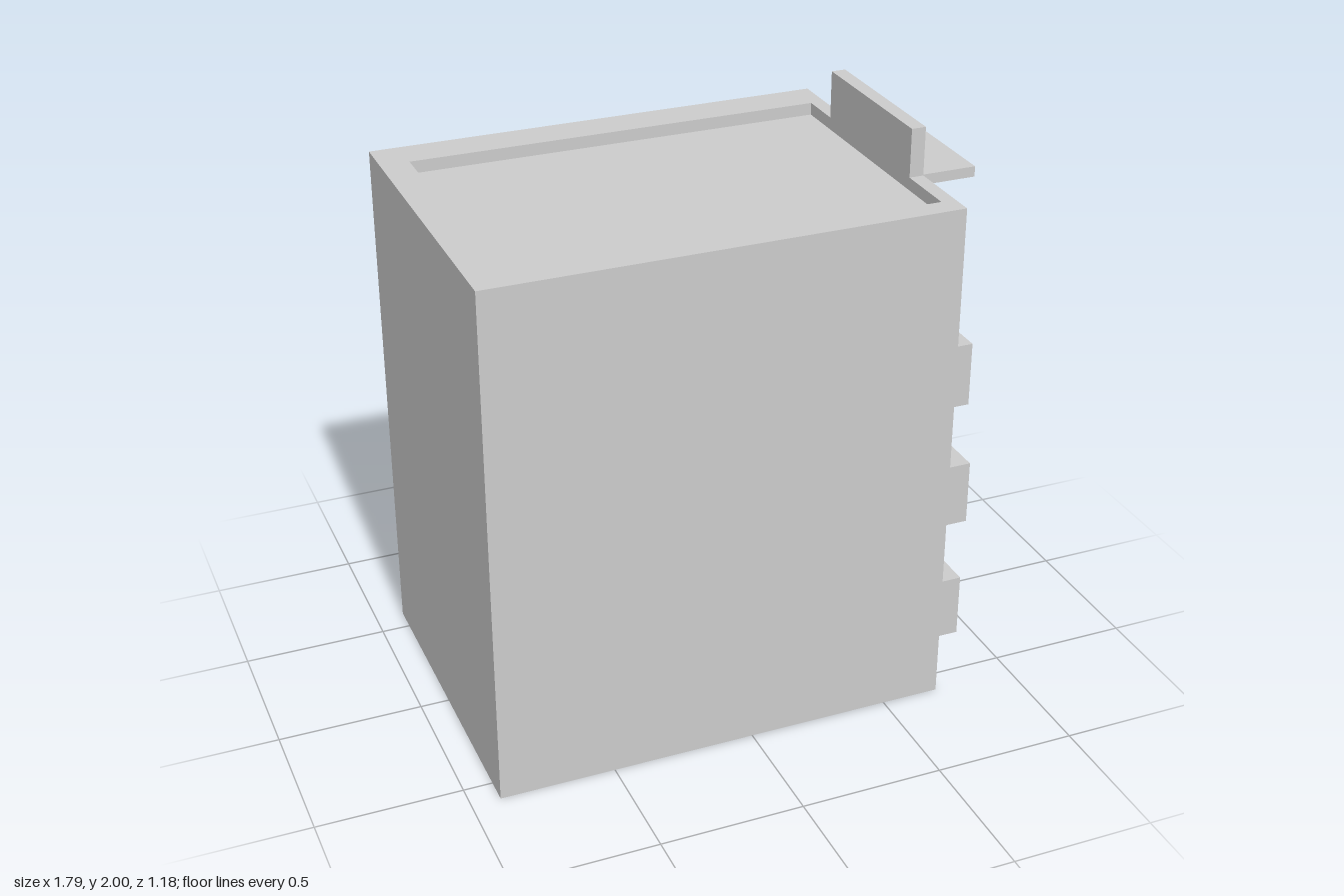
import * as THREE from 'three';

const material = new THREE.MeshStandardMaterial({ color: 0xcccccc, flatShading: true });

// Rectangle outline, usable as a shape or a hole
function rect(Type, u0, u1, v0, v1) {
  return new Type([[u0, v0], [u1, v0], [u1, v1], [u0, v1]].map(([u, v]) => new THREE.Vector2(u, v)));
}

export function createModel() {
  const group = new THREE.Group();
  const add = (name, geometry) => {
    const mesh = new THREE.Mesh(geometry, material);
    mesh.name = name;
    group.add(mesh);
    return mesh;
  };
  // Box given by its limits on each axis
  const box = (name, x0, x1, y0, y1, z0, z1) =>
    add(name, new THREE.BoxGeometry(x1 - x0, y1 - y0, z1 - z0))
      .position.set((x0 + x1) / 2, (y0 + y1) / 2, (z0 + z1) / 2);

  const left = -0.9, right = 0.705, halfDepth = 0.588, doorHalf = 0.295;
  const roofY = 1.79, topY = 1.833, doorBack = 0.635;

  // Main block up to the sunken roof
  box('building', left, doorBack, 0, roofY, -halfDepth, halfDepth);

  // Entrance wall with the doorway cut out
  const wall = new THREE.Shape([
    [-halfDepth, 0], [-doorHalf, 0], [-doorHalf, 1.58], [doorHalf, 1.58],
    [doorHalf, 0], [halfDepth, 0], [halfDepth, roofY], [-halfDepth, roofY],
  ].map(([u, v]) => new THREE.Vector2(u, v)));
  const wallGeometry = new THREE.ExtrudeGeometry(wall, { depth: right - doorBack, bevelEnabled: false });
  add('entranceWall', wallGeometry.rotateY(Math.PI / 2)).position.x = doorBack;

  // Door and its sill, behind the boards
  box('door', doorBack, 0.66, 0.225, 1.58, -doorHalf, doorHalf);
  box('doorSill', doorBack, right, 0, 0.005, -doorHalf, doorHalf);

  // Parapet around the roof, wider at the back than at the front
  const rim = rect(THREE.Shape, left, right, -halfDepth, halfDepth);
  rim.holes.push(rect(THREE.Path, -0.8, 0.655, -0.512, 0.45));
  const rimGeometry = new THREE.ExtrudeGeometry(rim, { depth: topY - roofY, bevelEnabled: false });
  add('parapet', rimGeometry.rotateX(-Math.PI / 2)).position.y = roofY;

  // Boards nailed across the doorway: bottom, top, outer x
  [[0.226, 0.45, 0.773], [0.676, 0.9, 0.78], [1.128, 1.35, 0.758]].forEach(([y0, y1, x1], i) =>
    box(`board${i + 1}`, right, x1, y0, y1, -halfDepth, halfDepth));

  // Canopy over the entrance and the upright sign panel
  box('canopy', right, 0.895, 1.8, 1.836, -doorHalf, doorHalf);
  box('signPanel', 0.655, right, topY, 2, -doorHalf, doorHalf);

  return group;
}
